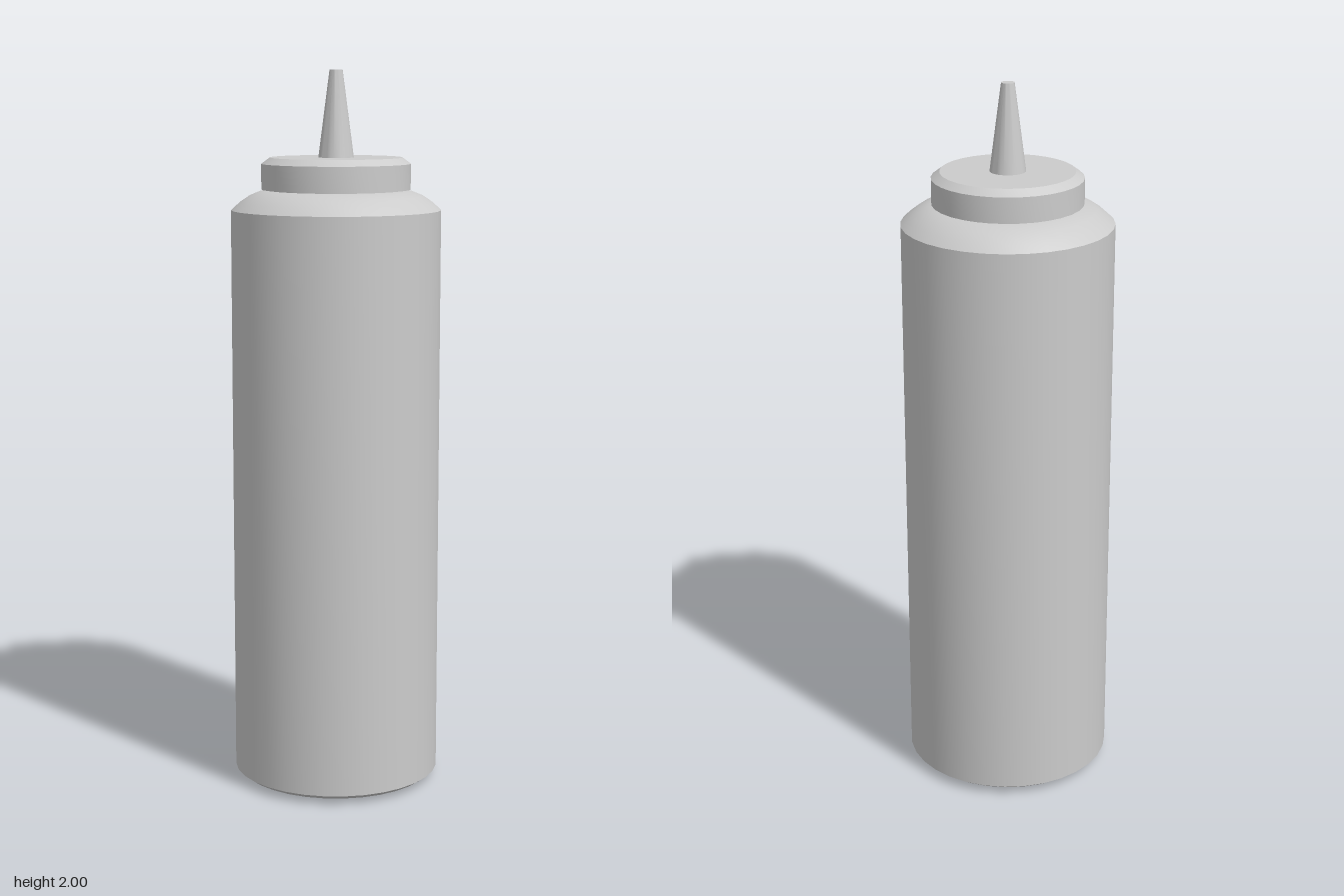
import * as THREE from 'three';
import { toCreasedNormals } from 'three/addons/utils/BufferGeometryUtils.js';

const SEGMENTS = 32;

export function createModel() {
  const group = new THREE.Group();
  const material = new THREE.MeshStandardMaterial({ color: 0xcccccc });

  // Turns a bottom-to-top profile of [radius, y] points, keeping sharp rims sharp
  function turned(name, profile) {
    const points = profile.map(([r, y]) => new THREE.Vector2(r, y));
    const geometry = toCreasedNormals(new THREE.LatheGeometry(points, SEGMENTS), 0.55);
    const mesh = new THREE.Mesh(geometry, material);
    mesh.name = name;
    group.add(mesh);
  }

  // Bottle with a softly bevelled base, rounded shoulder and short neck
  turned('bottle', [
    [0, 0], [0.22, 0.002], [0.272, 0.013], [0.29, 0.026],
    [0.29, 1.62], [0.268, 1.64], [0.24, 1.659], [0.21, 1.671], [0.19, 1.674],
    [0.19, 1.7], [0, 1.7],
  ]);

  // Screw cap with a bevelled top rim
  turned('cap', [
    [0, 1.676], [0.206, 1.676], [0.206, 1.746], [0.183, 1.763], [0, 1.763],
  ]);

  // Tapered nozzle with a flat tip
  turned('nozzle', [
    [0, 1.755], [0.05, 1.755], [0.049, 1.763], [0.018, 2], [0, 2],
  ]);

  return group;
}
